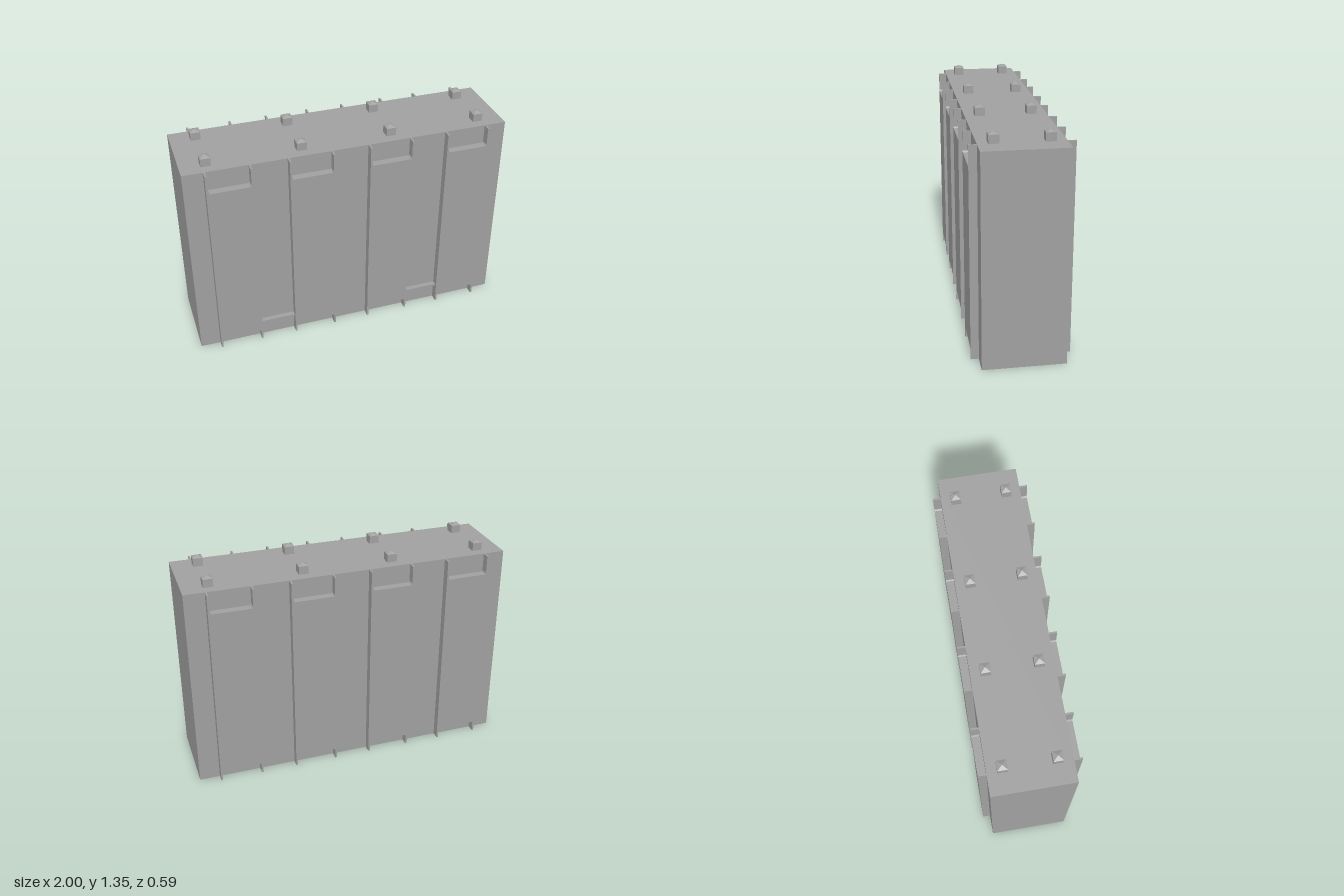
import * as THREE from 'three';

const HEIGHT = 1.29, BODY_Z = 0.245, PANEL_Z = 0.293;

// H-shaped panel outline: notched at the top and bottom between two thin ribs
function panelShape(w) {
  const h = w / 2, i = h - 0.011, c = 0.008, low = 0.07, high = 1.17;
  return new THREE.Shape([
    [-h, 0], [-i, 0], [-i, low - c], [-i + c, low], [i - c, low], [i, low - c], [i, 0], [h, 0],
    [h, HEIGHT], [i, HEIGHT], [i, high + c], [i - c, high], [-i + c, high], [-i, high + c], [-i, HEIGHT], [-h, HEIGHT],
  ].map(([x, y]) => new THREE.Vector2(x, y)));
}

export function createModel() {
  const model = new THREE.Group();
  model.name = 'container';
  const gray = new THREE.MeshStandardMaterial({ color: 0xa0a0a0 });
  gray.name = 'gray';

  const add = (name, geometry, x, y, z, parent = model) => {
    const mesh = new THREE.Mesh(geometry, gray);
    mesh.name = name;
    mesh.position.set(x, y, z);
    parent.add(mesh);
    return mesh;
  };

  // main block
  add('body', new THREE.BoxGeometry(2, HEIGHT, BODY_Z * 2), 0, HEIGHT / 2, 0);

  // raised panels on front and back
  const depth = PANEL_Z - BODY_Z;
  for (const [x0, x1] of [[-0.877, -0.603], [-0.385, -0.111], [0.108, 0.382], [0.6, 0.874]]) {
    const geometry = new THREE.ExtrudeGeometry(panelShape(x1 - x0), { depth, bevelEnabled: false });
    const x = (x0 + x1) / 2;
    add('frontPanel', geometry, x, 0, BODY_Z);
    add('backPanel', geometry, x, 0, -BODY_Z).rotation.y = Math.PI;
  }

  // thin crossbars joining pairs of front panels
  for (const x of [-0.494, 0.491]) {
    add('crossbar', new THREE.BoxGeometry(0.218, 0.015, 0.03), x, 0.12, BODY_Z + 0.015);
  }

  // square pegs with shallow pyramid tips
  const size = 0.06, base = 0.05, tip = 0.014;
  const post = new THREE.BoxGeometry(size, base, size);
  const cap = new THREE.ConeGeometry(size / Math.SQRT2, tip, 4, 1, true).toNonIndexed();
  cap.rotateY(Math.PI / 4);
  cap.computeVertexNormals();
  for (const x of [-0.848, -0.281, 0.275, 0.842]) {
    for (const z of [-0.155, 0.155]) {
      const peg = new THREE.Group();
      peg.name = 'peg';
      peg.position.set(x, HEIGHT, z);
      add('pegPost', post, 0, base / 2, 0, peg);
      add('pegTip', cap, 0, base + tip / 2, 0, peg);
      model.add(peg);
    }
  }
  return model;
}
